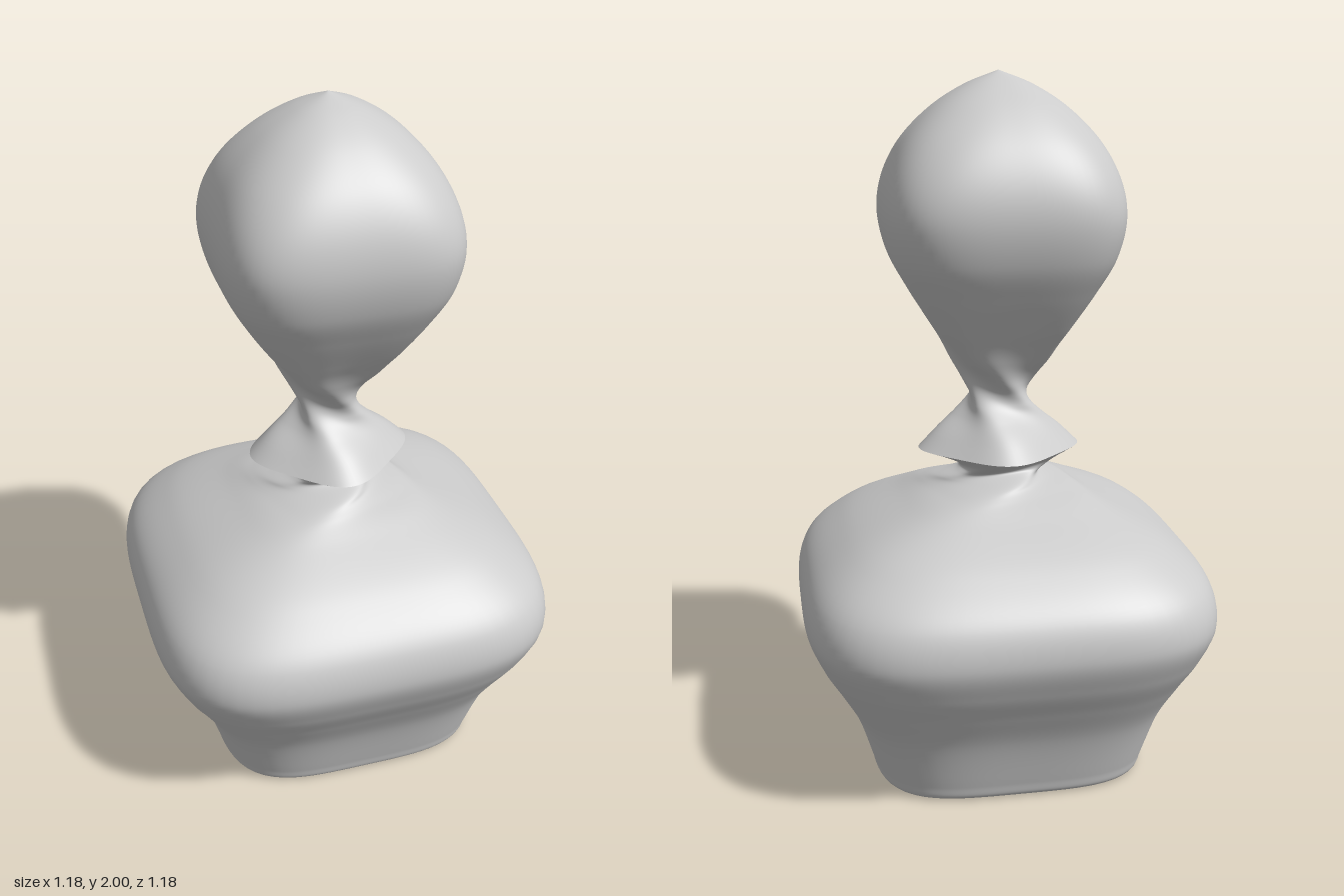
import * as THREE from 'three';

const SIDES = 96;

// Profile stations: [half width, height, twist in degrees]
const BODY = [
  [0, 0.25, 0], [0.1, 0.225, 0], [0.22, 0.145, 0], [0.32, 0.05, 0], [0.353, 0.016, 0], // hollow underside
  [0.376, 0.002, 0], [0.394, 0.012, 0], [0.406, 0.05, 0],
  [0.455, 0.2, 0], [0.507, 0.3, 0], [0.557, 0.39, 0], [0.592, 0.49, 0], [0.567, 0.595, 0],
  [0.455, 0.7, 0], [0.28, 0.79, 4], [0.198, 0.828, 20], [0.147, 0.853, 48], [0.118, 0.872, 77],
  [0.122, 0.888, 103], [0.15, 0.908, 122], [0.2, 0.935, 135],
];
const FINIAL = [
  [0.2, 0.935, 135], [0.162, 0.98, 132], [0.115, 1.03, 118], [0.088, 1.07, 94], [0.081, 1.1, 73],
  [0.088, 1.13, 52], [0.102, 1.16, 35], [0.128, 1.2, 18], [0.16, 1.25, 7], [0.195, 1.3, 2],
  [0.258, 1.4, 0], [0.31, 1.5, 0], [0.333, 1.61, 0], [0.32, 1.71, 0], [0.273, 1.81, 0],
  [0.19, 1.9, 0], [0.095, 1.962, 0], [0, 2, 0],
];

// Skin of rounded-square rings, each turned by its own twist
function twistedLoft(stations, rows, name) {
  const curve = new THREE.CatmullRomCurve3(
    stations.map(([r, y, deg]) => new THREE.Vector3(r, y, THREE.MathUtils.degToRad(deg))), false, 'centripetal');
  const positions = [];
  const index = [];
  for (let i = 0; i <= rows; i++) {
    const p = curve.getPoint(i / rows);
    const n = 3.8 - 1.5 * THREE.MathUtils.smoothstep(p.y, 1.6, 2); // rounder towards the tip
    for (let j = 0; j < SIDES; j++) {
      const a = (j / SIDES) * Math.PI * 2;
      const s = Math.abs(Math.sin(a)), c = Math.abs(Math.cos(a));
      const r = Math.max(p.x, 0) / Math.pow(s ** n + c ** n, 1 / n);
      positions.push(r * Math.sin(a + p.z), p.y, r * Math.cos(a + p.z));
      if (i < rows) {
        const k = (j + 1) % SIDES;
        const a0 = i * SIDES + j, b0 = i * SIDES + k;
        index.push(a0, b0, b0 + SIDES, a0, b0 + SIDES, a0 + SIDES);
      }
    }
  }
  const geometry = new THREE.BufferGeometry();
  geometry.setAttribute('position', new THREE.Float32BufferAttribute(positions, 3));
  geometry.setIndex(index);
  geometry.computeVertexNormals();
  const mesh = new THREE.Mesh(geometry, new THREE.MeshStandardMaterial({ color: 0xcccccc }));
  mesh.name = name;
  return mesh;
}

export function createModel() {
  const group = new THREE.Group();
  group.name = 'twistedPawn';
  // Body with its hollow underside up to the collar's sharp rim; then collar, neck and head
  group.add(twistedLoft(BODY, 200, 'body'));
  group.add(twistedLoft(FINIAL, 170, 'collarAndHead'));
  return group;
}
